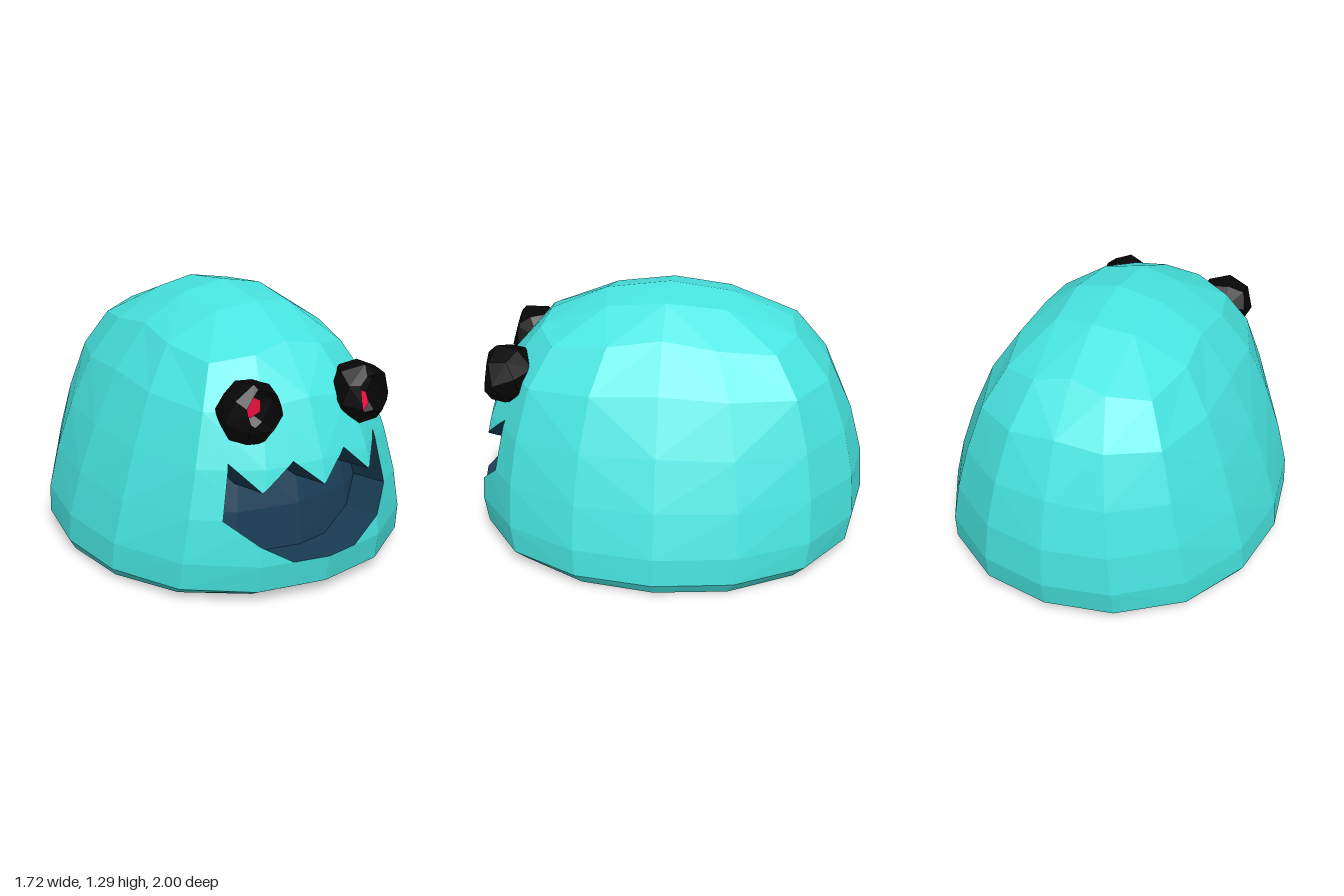
import * as THREE from 'three';
import { ConvexGeometry } from 'three/addons/geometries/ConvexGeometry.js';

const V = (x, y, z) => new THREE.Vector3(x, y, z);
const EPS = 1e-6;

// Keeps the part of a convex polygon where the linear function f is positive.
function clip(poly, f) {
  const d = poly.map((p) => { const v = f(p); return Math.abs(v) < EPS ? 0 : v; });
  if (!d.some((v) => v > 0)) return null;
  const out = [];
  poly.forEach((a, i) => {
    const j = (i + 1) % poly.length;
    if (d[i] >= 0) out.push(a);
    if (d[i] * d[j] < 0) out.push(a.clone().lerp(poly[j], d[i] / (d[i] - d[j])));
  });
  return out.length > 2 ? out : null;
}

// Cuts a convex volume (a list of half-spaces) out of a list of polygons.
function subtract(polys, halfSpaces) {
  const kept = [], removed = [];
  for (const poly of polys) {
    const pieces = [];
    let rest = poly;
    for (const f of halfSpaces) {
      const outside = clip(rest, (p) => -f(p));
      if (outside) pieces.push(outside);
      rest = clip(rest, f);
      if (!rest) break;
    }
    if (rest) { removed.push(rest); kept.push(...pieces); } else kept.push(poly);
  }
  return { kept, removed };
}

function polyMesh(name, polys, color, side) {
  const pos = [];
  for (const p of polys) {
    for (let i = 1; i < p.length - 1; i++) {
      for (const q of [p[0], p[i], p[i + 1]]) pos.push(q.x, q.y, q.z);
    }
  }
  const geo = new THREE.BufferGeometry();
  geo.setAttribute('position', new THREE.Float32BufferAttribute(pos, 3));
  geo.computeVertexNormals();
  return namedMesh(name, geo, color, side);
}

function namedMesh(name, geo, color, side = THREE.FrontSide) {
  const mesh = new THREE.Mesh(geo, new THREE.MeshStandardMaterial({ color, side, flatShading: true }));
  mesh.name = name;
  return mesh;
}

// One ring of the dome: an ellipse that bulges and drops towards its four corners.
function ring(n, y, rx, rz, bulge, drop = 0, tilt = 0) {
  return Array.from({ length: n }, (_, k) => {
    const a = (k / n) * Math.PI * 2;
    const s = Math.sin(2 * a) ** 2;
    const x = rx * Math.cos(a) * (1 + bulge * s), z = rz * Math.sin(a) * (1 + bulge * s);
    return V(x + 0.035 * z, y - drop * s + tilt * z, z - 0.035 * x);
  });
}

// Faceted dome with a square-grid cap, as triangles
function domePolys() {
  const tris = [];
  const centre = V(0, 0.4, 0);
  const reach = (p, q) => p.clone().add(q).multiplyScalar(0.5).distanceTo(centre);
  // Splits along the outer diagonal, so that no quad is dented
  const quad = (a, b, c, d) => {
    if (reach(a, c) > reach(b, d)) tris.push([a, b, c], [a, c, d]);
    else tris.push([a, b, d], [b, c, d]);
  };
  const rings = [
    [0.012, 0.83, 0.9, 0.03, 0, 0.01],
    [0.065, 0.86, 0.975, 0.03],
    [0.2, 0.85, 1.0, 0.03],
    [0.41, 0.79, 0.985, 0.04],
    [0.65, 0.7, 0.92, 0.07, 0.02],
    [0.91, 0.575, 0.8, 0.13, 0.04],
    [1.125, 0.415, 0.605, 0.25, 0.07],
  ].map((r) => ring(16, ...r));
  for (let i = 0; i < rings.length - 1; i++) {
    const lo = rings[i], hi = rings[i + 1];
    for (let k = 0; k < 16; k++) quad(lo[k], hi[k], hi[(k + 1) % 16], lo[(k + 1) % 16]);
  }
  // Underside
  const base = V(0, 0.01, 0);
  rings[0].forEach((p, k) => tris.push([base, p, rings[0][(k + 1) % 16]]));
  // Cap
  const B = rings[6], I = ring(8, 1.25, 0.22, 0.32, 0.28, 0.03), top = V(0.02, 1.293, 0);
  for (const p of I) p.x += 0.02;
  for (let q = 0; q < 4; q++) {
    const b = (k) => B[(q * 4 + k) % 16], n = (k) => I[(q * 2 + k) % 8];
    quad(b(0), n(0), n(1), b(1));
    quad(b(1), n(1), b(3), b(2));
    quad(b(3), n(1), n(2), b(4));
    quad(n(0), top, n(2), n(1));
  }
  return tris;
}

// Height of a polyline at x
function lineAt(pts, x) {
  const i = Math.max(1, pts.findIndex((p) => p[0] >= x - EPS));
  const [a, b] = [pts[i - 1], pts[i]];
  return a[1] + ((b[1] - a[1]) * (x - a[0])) / (b[0] - a[0]);
}

const UPPER = [[-0.43, 0.41], [-0.38, 0.66], [-0.27, 0.54], [-0.11, 0.66], [0.03, 0.54],
  [0.17, 0.67], [0.31, 0.54], [0.42, 0.67], [0.46, 0.41]];
const LOWER = [[-0.43, 0.41], [-0.3, 0.3], [-0.14, 0.2], [0.2, 0.2], [0.35, 0.3], [0.46, 0.41]];

// Cuts the jagged mouth in vertical strips; returns the body and the recess lining.
function carveMouth(body) {
  const inward = V(0, -0.05, -0.25);
  const lining = [];
  const xs = [...new Set([...UPPER, ...LOWER].map((p) => p[0]))].sort((a, b) => a - b);
  for (let i = 0; i < xs.length - 1; i++) {
    const x0 = xs[i], x1 = xs[i + 1];
    const line = (pts) => {
      const y0 = lineAt(pts, x0), m = (lineAt(pts, x1) - y0) / (x1 - x0);
      return (p) => p.y - y0 - m * (p.x - x0);
    };
    const up = line(UPPER), low = line(LOWER);
    const cut = subtract(body, [(p) => p.z - 0.4, (p) => p.x - x0, (p) => x1 - p.x, (p) => -up(p), low]);
    body = cut.kept;
    for (const piece of cut.removed) {
      const back = piece.map((p) => p.clone().add(inward));
      lining.push(back);
      piece.forEach((a, k) => {
        const j = (k + 1) % piece.length, b = piece[j];
        if ([up, low].some((f) => Math.abs(f(a)) < 1e-5 && Math.abs(f(b)) < 1e-5)) {
          lining.push([a, b, back[j], back[k]]);
        }
      });
    }
  }
  return { body, lining };
}

// Blocky ball: a cube grid pushed out to a sphere
function blockyBall(radius) {
  const pts = [];
  for (const x of [-1, 0, 1]) for (const y of [-1, 0, 1]) for (const z of [-1, 0, 1]) {
    if (x || y || z) pts.push(V(x, y, z).setLength(radius));
  }
  return new ConvexGeometry(pts);
}

export function createModel() {
  const group = new THREE.Group();
  let { body, lining } = carveMouth(domePolys());

  // Hollow eyeballs, open at the front, each with a pupil disc at its middle
  const eyes = [
    { name: 'right', at: V(-0.265, 0.88, 0.77), turn: [0.35, 0.28, 0.15],
      pupil: V(-0.27, 0.91, 0.79), facing: V(-0.2, -0.05, 1), opening: V(0.2, 0.3, 0.93) },
    { name: 'left', at: V(0.322, 0.88, 0.765), turn: [0.35, -0.28, -0.1],
      pupil: V(0.32, 0.85, 0.8), facing: V(0.3, 0.4, 0.87), opening: V(0.2, 0.15, 0.97) },
  ];
  for (const { name, at, turn, pupil, facing, opening } of eyes) {
    const ball = blockyBall(0.152).rotateX(turn[0]).rotateY(turn[1]).rotateZ(turn[2]).translate(at.x, at.y, at.z);
    const pos = ball.getAttribute('position');
    const shell = [], halfSpaces = [];
    opening.normalize();
    for (let i = 0; i < pos.count; i += 3) {
      const face = [0, 1, 2].map((k) => new THREE.Vector3().fromBufferAttribute(pos, i + k));
      const plane = new THREE.Plane().setFromCoplanarPoints(...face);
      halfSpaces.push((p) => -plane.distanceToPoint(p));
      const open = clip(face, (p) => 0.105 - p.clone().sub(at).dot(opening));
      if (open) shell.push(open);
    }
    // Socket in the body
    body = subtract(body, halfSpaces).kept;
    group.add(polyMesh(name + 'Eye', shell, 0x070707, THREE.DoubleSide));

    const disc = namedMesh(name + 'Pupil', new THREE.CircleGeometry(0.053, 6, Math.PI / 6), 0xee1040, THREE.DoubleSide);
    disc.position.copy(pupil);
    disc.quaternion.setFromUnitVectors(V(0, 0, 1), facing.normalize());
    group.add(disc);
  }

  group.add(polyMesh('body', body, 0x47e4e0), polyMesh('mouth', lining, 0x1a3f57));
  return group;
}
